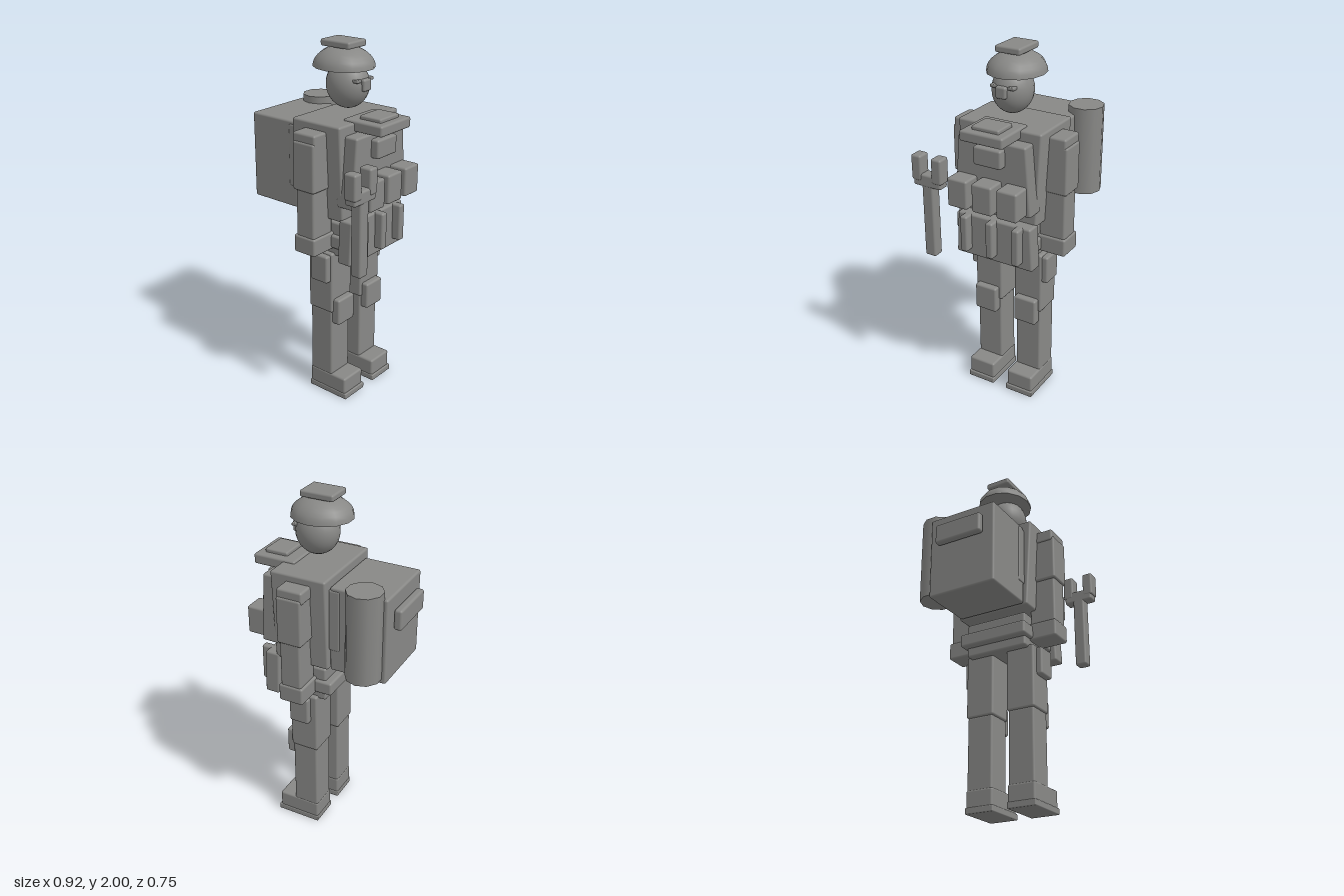
import * as THREE from 'three';
import { RoundedBoxGeometry } from 'three/addons/geometries/RoundedBoxGeometry.js';

const MID = -0.027; // z of the figure's own plane of symmetry; it faces +x

export function createModel() {
  const model = new THREE.Group();
  model.name = 'packSoldier';
  const grey = new THREE.MeshStandardMaterial({ color: 0x888886 });
  grey.name = 'stone grey';

  const add = (name, geometry, x = 0, y = 0, z = 0) => {
    const mesh = new THREE.Mesh(geometry, grey);
    mesh.name = name;
    mesh.position.set(x, y, z);
    model.add(mesh);
    return mesh;
  };

  // Rounded box from its limits; top and bottom scale the depth in z at each end
  const box = (name, x0, x1, y0, y1, z0, z1, { top = 1, bottom = 1, r = 0.012 } = {}) => {
    const w = x1 - x0, h = y1 - y0, d = z1 - z0;
    const g = new RoundedBoxGeometry(w, h, d, 2, Math.min(r, w * 0.3, h * 0.3, d * 0.3));
    if (top !== 1 || bottom !== 1) {
      const p = g.attributes.position;
      for (let i = 0; i < p.count; i++) {
        const t = p.getY(i) / h + 0.5;
        p.setZ(i, p.getZ(i) * (bottom + (top - bottom) * t));
      }
    }
    return add(name, g, (x0 + x1) / 2, (y0 + y1) / 2, (z0 + z1) / 2);
  };

  // Box centred on the symmetry plane
  const mid = (name, x0, x1, y0, y1, halfZ, opts) =>
    box(name, x0, x1, y0, y1, MID - halfZ, MID + halfZ, opts);

  // Pair of boxes mirrored across the symmetry plane
  const pair = (name, x0, x1, y0, y1, inner, outer, opts) => {
    box(name + 'Near', x0, x1, y0, y1, MID + inner, MID + outer, opts);
    box(name + 'Far', x0, x1, y0, y1, MID - outer, MID - inner, opts);
  };

  // Head and face
  const head = add('head', new THREE.SphereGeometry(1, 24, 16), 0.09, 1.772, -0.025);
  head.scale.set(0.12, 0.127, 0.108);
  mid('nose', 0.18, 0.222, 1.75, 1.815, 0.031);
  pair('eye', 0.165, 0.205, 1.798, 1.815, 0.032, 0.07);

  // Domed helmet with a closed underside
  const dome = [];
  for (let i = 0; i <= 8; i++) {
    const a = (i / 8) * Math.PI / 2;
    dome.push(new THREE.Vector2(Math.cos(a), Math.sin(a)));
  }
  const helmet = add('helmet', new THREE.LatheGeometry(dome, 14), 0.06, 1.858, -0.03);
  helmet.scale.set(0.17, 0.11, 0.155);
  const underside = add('helmetUnderside', new THREE.CircleGeometry(1, 14), 0.06, 1.858, -0.03);
  underside.rotation.set(Math.PI / 2, 0, Math.PI / 2);
  underside.scale.set(0.155, 0.17, 1);
  mid('helmetTop', -0.038, 0.152, 1.963, 2.0, 0.074);

  // Torso, vest and chest gear
  mid('torso', -0.083, 0.235, 1.09, 1.614, 0.248, { bottom: 0.88 });
  mid('vest', 0.2, 0.31, 1.18, 1.56, 0.232, { top: 0.86 });
  mid('chestPocket', 0.3, 0.355, 1.43, 1.532, 0.082);
  mid('collarPlate', 0.16, 0.407, 1.567, 1.625, 0.127);
  mid('collarPlateTop', 0.23, 0.365, 1.615, 1.645, 0.08);
  for (const offset of [-0.149, 0, 0.149]) {
    box('chestPouch', 0.3, 0.412, 1.19, 1.35, MID + offset - 0.06, MID + offset + 0.06);
  }

  // Hips, belt and front pouches
  mid('hips', -0.05, 0.2, 0.868, 1.065, 0.185);
  mid('belt', -0.093, 0.245, 0.92, 0.995, 0.205);
  mid('frontSkirt', 0.215, 0.3, 0.862, 1.108, 0.238, { top: 0.94 });
  for (const offset of [-0.159, 0, 0.159]) {
    box('beltTool', 0.285, 0.35, 0.9, 1.11, MID + offset - 0.022, MID + offset + 0.022);
  }

  // Backpack with frame, bedroll and rear bar
  mid('packFrame', -0.147, -0.08, 1.21, 1.56, 0.208);
  mid('pack', -0.41, -0.088, 1.09, 1.575, 0.204);
  add('bedroll', new THREE.CylinderGeometry(0.098, 0.098, 0.494, 10), -0.295, 1.367, -0.253);
  mid('packRearBar', -0.46, -0.415, 1.385, 1.5, 0.143, { r: 0.016 });

  // Arms
  pair('shoulder', 0, 0.147, 1.505, 1.575, 0.175, 0.338);
  pair('upperArm', 0.005, 0.147, 1.265, 1.53, 0.172, 0.347);
  pair('forearm', 0.018, 0.137, 1.0, 1.275, 0.185, 0.337);
  pair('hand', 0.005, 0.147, 0.91, 1.01, 0.175, 0.345);

  // Legs, pads and boots
  pair('thigh', -0.007, 0.157, 0.525, 0.885, 0.042, 0.212);
  pair('thighPouch', 0.03, 0.147, 0.715, 0.875, 0.2, 0.245);
  pair('shin', 0, 0.15, 0.11, 0.53, 0.05, 0.205);
  pair('kneePad', 0.14, 0.195, 0.453, 0.607, 0.06, 0.196);
  pair('boot', -0.003, 0.248, 0.025, 0.128, 0.046, 0.208);
  pair('sole', -0.005, 0.258, 0, 0.035, 0.042, 0.212, { r: 0.006 });

  // Floating forked tool beside the chest
  box('toolHandle', 0.385, 0.45, 0.88, 1.32, 0.247, 0.315);
  box('toolCrossbar', 0.385, 0.453, 1.285, 1.355, 0.195, 0.365);
  box('toolProngInner', 0.383, 0.457, 1.315, 1.455, 0.187, 0.248);
  box('toolProngOuter', 0.383, 0.457, 1.315, 1.455, 0.312, 0.372);

  return model;
}
